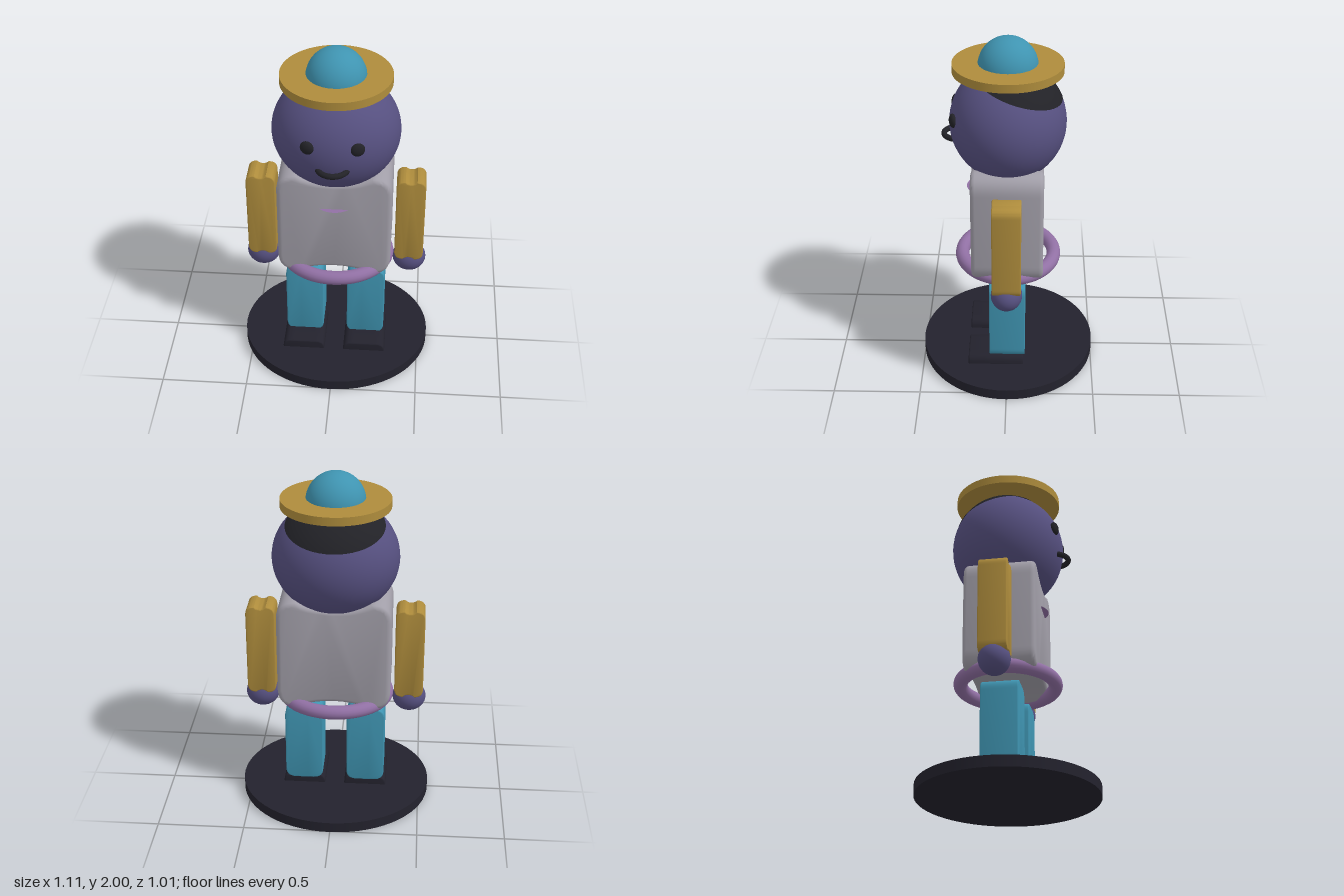
import * as THREE from 'three';
import { toCreasedNormals } from 'three/addons/utils/BufferGeometryUtils.js';

const mat = (name, color, side = THREE.FrontSide) =>
  Object.assign(new THREE.MeshStandardMaterial({ color, side }), { name });

// Extruded block with rounded corners, and optionally a shallow dip in its top and bottom edges
function block(w, h, d, r, dip, bevel) {
  const x = w / 2, y = h / 2, c = (x - r) / 2;
  const s = new THREE.Shape();
  s.moveTo(x, -y + r);
  s.lineTo(x, y - r);
  s.quadraticCurveTo(x, y, x - r, y);
  s.bezierCurveTo(c, y - dip, -c, y - dip, -x + r, y);
  s.quadraticCurveTo(-x, y, -x, y - r);
  s.lineTo(-x, -y + r);
  s.quadraticCurveTo(-x, -y, -x + r, -y);
  s.bezierCurveTo(-c, -y + dip, c, -y + dip, x - r, -y);
  s.quadraticCurveTo(x, -y, x, -y + r);
  const g = new THREE.ExtrudeGeometry(s, {
    depth: d - 2 * bevel, bevelEnabled: bevel > 0, bevelSize: bevel,
    bevelThickness: bevel, bevelOffset: -bevel, bevelSegments: 3, curveSegments: 10,
  });
  g.translate(0, 0, -d / 2 + bevel);
  return toCreasedNormals(g, 0.6);
}

export function createModel() {
  const gold = mat('gold', 0xae8c3c);
  const teal = mat('teal', 0x3f94b1);
  const violet = mat('violet', 0x565080);
  const grey = mat('grey', 0xa19ea8);
  const mauve = mat('mauve', 0x9170a4, THREE.DoubleSide);
  const navy = mat('darkNavy', 0x23222d);
  const black = mat('black', 0x222227, THREE.DoubleSide);

  const model = new THREE.Group();
  model.name = 'figurine';
  const add = (name, geometry, material, x, y, z) => {
    const m = new THREE.Mesh(geometry, material);
    m.name = name;
    m.position.set(x, y, z);
    model.add(m);
    return m;
  };

  // Oval stand
  add('stand', new THREE.CylinderGeometry(0.507, 0.507, 0.062, 64).scale(1.097, 1, 1), navy, 0, 0.031, 0);

  // Torso with raised shoulders, and the belt ring
  add('torso', block(0.644, 0.665, 0.405, 0.11, 0.06, 0.025), grey, 0, 0.9725, 0);
  add('belt', new THREE.TorusGeometry(0.267, 0.04, 16, 64).rotateX(Math.PI / 2).scale(1.1, 1, 1),
    mauve, 0, 0.657, 0);

  // Thin crescent set into the chest
  add('chestCrescent', new THREE.CircleGeometry(0.12, 32).rotateX(-Math.PI / 2), mauve, 0, 1.1, 0.115);

  // Limbs
  for (const [side, s] of [['left', 1], ['right', -1]]) {
    add(side + 'Leg', block(0.222, 0.485, 0.208, 0.06, 0, 0.006), teal, s * 0.181, 0.3425, 0);
    add(side + 'Shoe', block(0.25, 0.11, 0.322, 0.055, 0, 0.008), navy, s * 0.181, 0.06, 0.066);
    add(side + 'Arm', block(0.166, 0.55, 0.16, 0.05, 0.02, 0.006), gold, s * 0.426, 0.94, 0);
    add(side + 'Hand', new THREE.SphereGeometry(0.088, 32, 20).scale(1.1, 1, 1), violet, s * 0.43, 0.636, 0);
    add(side + 'Eye', new THREE.SphereGeometry(0.039, 24, 16).scale(1, 1, 0.55), black, s * 0.135, 1.567, 0.296)
      .rotation.y = s * 0.3;
  }

  // Head, with a hair cap tilted towards the back
  add('head', new THREE.SphereGeometry(1, 48, 32).scale(0.357, 0.33, 0.325), violet, 0, 1.51, 0);
  add('hair', new THREE.SphereGeometry(1, 48, 16, 0, Math.PI * 2, 0, 0.87)
    .rotateX(-0.283).scale(0.36, 0.333, 0.328), black, 0, 1.51, 0);

  // Mouth: half ring lying flat, bulging forward
  add('mouth', new THREE.TorusGeometry(0.082, 0.016, 12, 32, Math.PI).rotateX(Math.PI / 2),
    black, 0, 1.43, 0.274);

  // Hat
  add('hatBrim', new THREE.CylinderGeometry(0.306, 0.306, 0.048, 64), gold, 0, 1.831, 0);
  add('hatDome', new THREE.SphereGeometry(0.166, 32, 16, 0, Math.PI * 2, 0, Math.PI / 2), teal, 0, 1.834, 0);

  return model;
}
